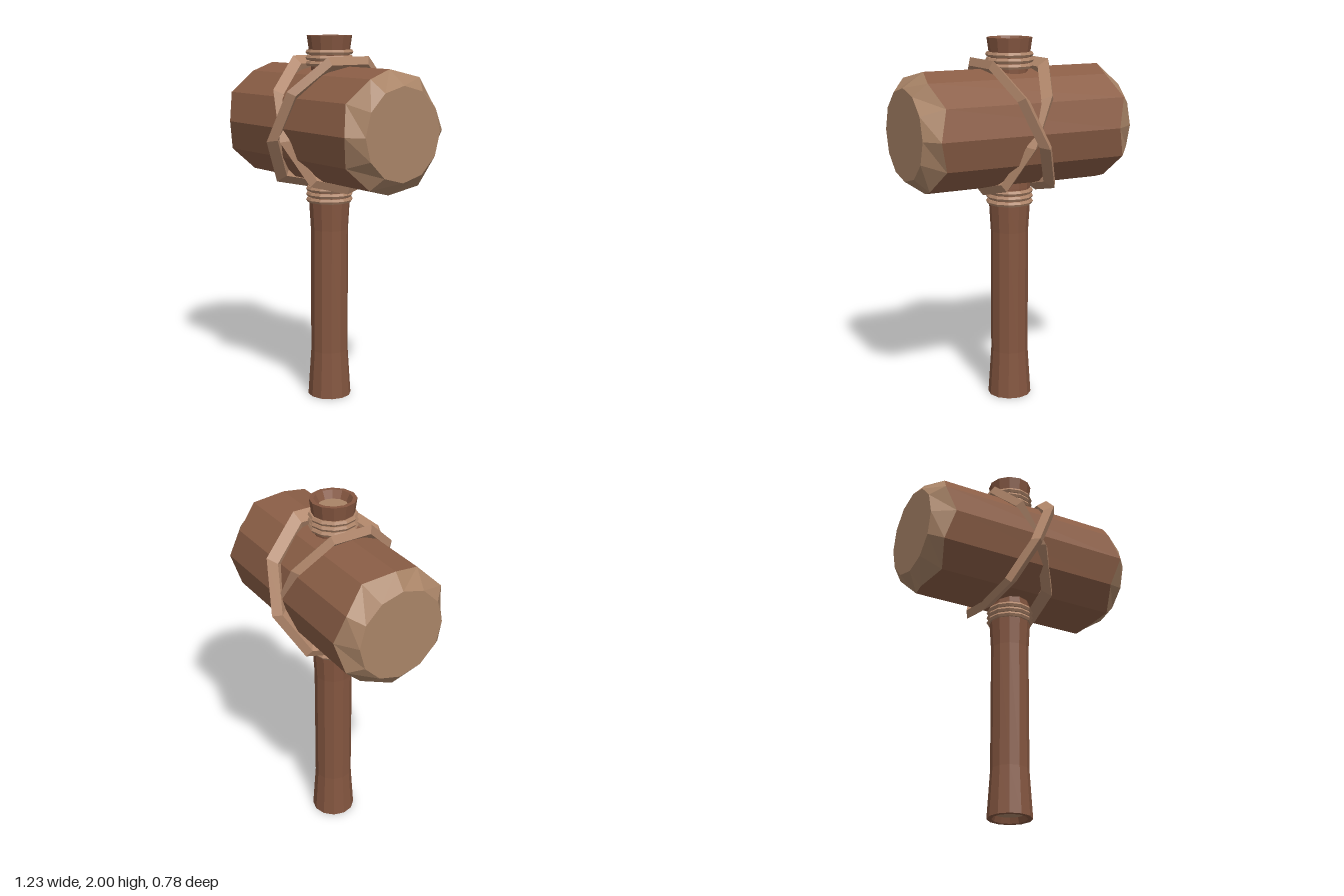
import * as THREE from 'three';

const paint = (color, side = THREE.FrontSide) =>
  new THREE.MeshStandardMaterial({ color, flatShading: true, side });
const headWood = paint(0x8b5e46), endWood = paint(0xa98467);
const handleWood = paint(0x845640), rope = paint(0xb0866a);

const SIDES = 12, HEAD_Y = 1.52;

function addPart(parent, name, geometry, material, y = 0) {
  const mesh = new THREE.Mesh(geometry, material);
  mesh.name = name;
  mesh.position.y = y;
  parent.add(mesh);
  return mesh;
}

// Ring of points around the x axis; odd and even corners may sit at different x
function ring(radius, xEven, xOdd = xEven) {
  return Array.from({ length: SIDES }, (_, k) => {
    const a = (k / SIDES) * Math.PI * 2;
    return [k % 2 ? xOdd : xEven, radius * Math.cos(a), radius * Math.sin(a)];
  });
}

// Skin between successive rings, ordered from -x to +x
function loft(rings) {
  const pos = [];
  for (let r = 0; r < rings.length - 1; r++) {
    const a = rings[r], b = rings[r + 1];
    for (let k = 0; k < SIDES; k++) {
      const n = (k + 1) % SIDES;
      pos.push(...a[k], ...a[n], ...b[n], ...a[k], ...b[n], ...b[k]);
    }
  }
  const g = new THREE.BufferGeometry();
  g.setAttribute('position', new THREE.Float32BufferAttribute(pos, 3));
  g.computeVertexNormals();
  return g;
}

// Nine-sided lashing around the head, slanted sideways by a shear
function strapGeometry(slope, depth) {
  const g = new THREE.TorusGeometry(0.35, 0.045, 4, 9);
  g.rotateZ(-Math.PI / 2).rotateY(Math.PI / 2).scale(0.8, 1, depth);
  const p = g.attributes.position;
  for (let i = 0; i < p.count; i++) {
    let y = p.getY(i);
    if (y < 0 && Math.abs(p.getZ(i)) < 0.01) y *= 0.91; // flattened underside
    p.setXYZ(i, p.getX(i) + slope * y, y, p.getZ(i));
  }
  g.computeVertexNormals();
  return g;
}

export function createModel() {
  const model = new THREE.Group();
  model.name = 'woodenMallet';

  // Head: faceted log with unevenly chamfered ends
  const head = new THREE.Group();
  head.name = 'head';
  head.position.y = HEAD_Y;
  model.add(head);
  const left = ring(0.32, 0.5, 0.546), right = ring(0.32, -0.55, -0.503);
  addPart(head, 'headBody', loft([right, left]), headWood);
  addPart(head, 'leftEnd', loft([left, ring(0.243, 0.615), ring(0, 0.615)]), endWood);
  addPart(head, 'rightEnd', loft([ring(0, -0.617), ring(0.243, -0.617), right]), endWood);

  // Crossed straps, the second tucked under the first
  addPart(head, 'outerStrap', strapGeometry(0.45, 1), rope);
  addPart(head, 'innerStrap', strapGeometry(-0.45, 0.89), rope);

  // Handle with flared ends and a shallow recess at both tips
  const profile = [
    [0.085, 0.03], [0.095, 0], [0.12, 0], [0.103, 0.26], [0.103, 0.95], [0.112, 1.1],
    [0.112, 1.2], [0.1, 1.5], [0.1, 1.84], [0.108, 1.9], [0.122, 2], [0.1, 2], [0.078, 1.96],
  ].map(([r, y]) => new THREE.Vector2(r, y));
  const handle = new THREE.Group();
  handle.name = 'handle';
  model.add(handle);
  addPart(handle, 'shaft', new THREE.LatheGeometry(profile, SIDES), handleWood);
  addPart(handle, 'topGrain', new THREE.CircleGeometry(0.078, SIDES).rotateX(-Math.PI / 2), endWood, 1.96);
  addPart(handle, 'bottomGrain', new THREE.CircleGeometry(0.085, SIDES).rotateX(Math.PI / 2), endWood, 0.03);

  // Cord windings above and below the head
  const cord = new THREE.TorusGeometry(0.114, 0.015, 6, SIDES).rotateX(Math.PI / 2);
  for (const y of [1.115, 1.145, 1.175, 1.852, 1.882, 1.912])
    addPart(handle, 'cordWinding', cord, rope, y);

  return model;
}
